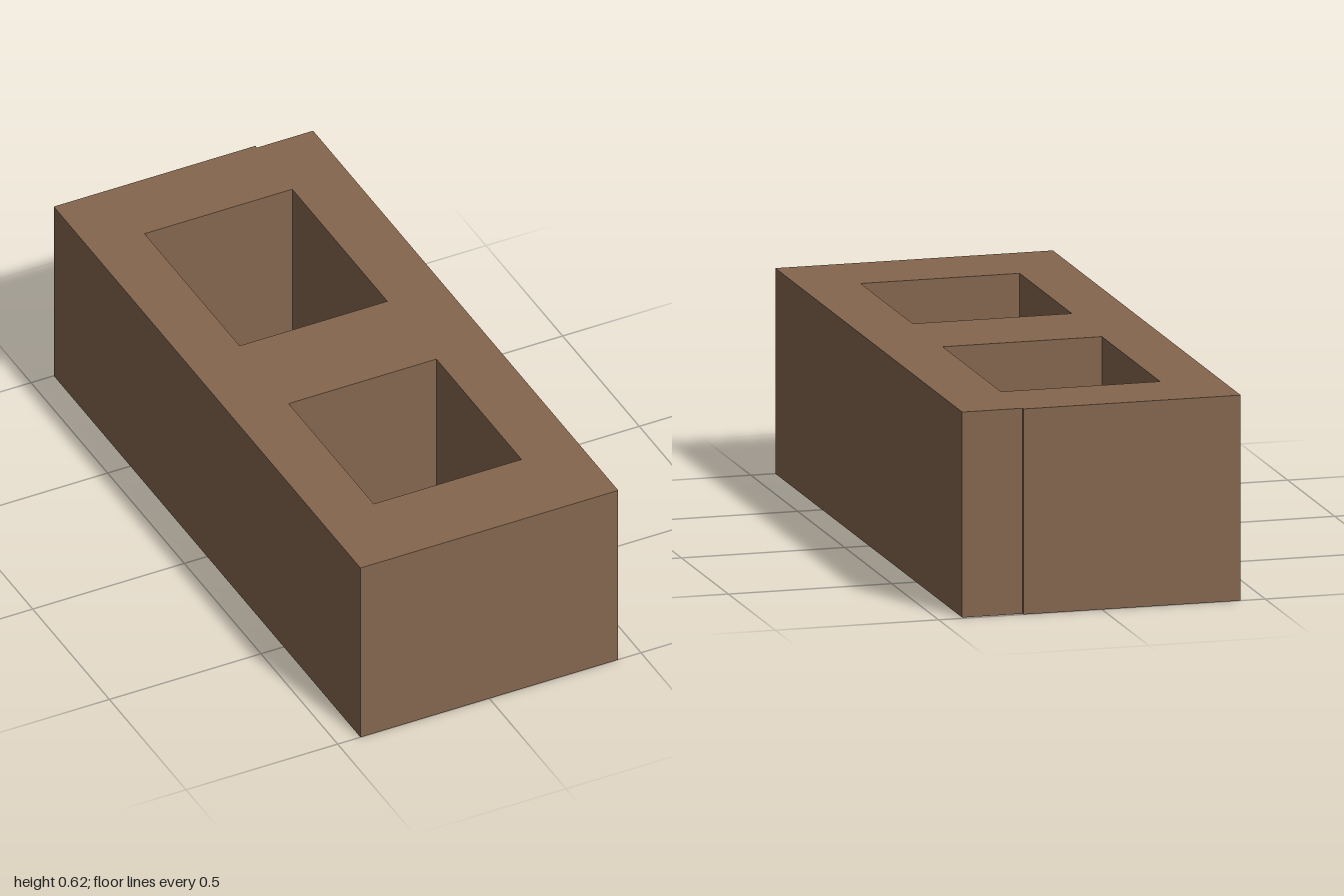
import * as THREE from 'three';

const HEIGHT = 0.62;

// Plan outlines are given as [x, z]; the shape's y is -z so it can be laid flat.
const toPoints = (pts) => pts.map(([x, z]) => new THREE.Vector2(x, -z));

export function createModel() {
  const group = new THREE.Group();
  group.name = 'hollowBlock';

  const clay = new THREE.MeshStandardMaterial({ color: 0x84664e });
  clay.name = 'brown clay';

  // Outer outline, with a shallow step in the back face
  const plan = new THREE.Shape(toPoints([
    [-0.425, 1], [0.425, 1], [0.425, -0.99], [0.24, -0.99], [0.24, -1], [-0.425, -1],
  ]));

  // Two rectangular cores running right through the block
  for (const [back, front] of [[-0.76, -0.14], [0.18, 0.735]]) {
    plan.holes.push(new THREE.Path(toPoints([
      [-0.247, back], [0.24, back], [0.24, front], [-0.247, front],
    ])));
  }

  const geometry = new THREE.ExtrudeGeometry(plan, { depth: HEIGHT, bevelEnabled: false });
  geometry.rotateX(-Math.PI / 2);

  const block = new THREE.Mesh(geometry, clay);
  block.name = 'blockBody';
  group.add(block);
  return group;
}
